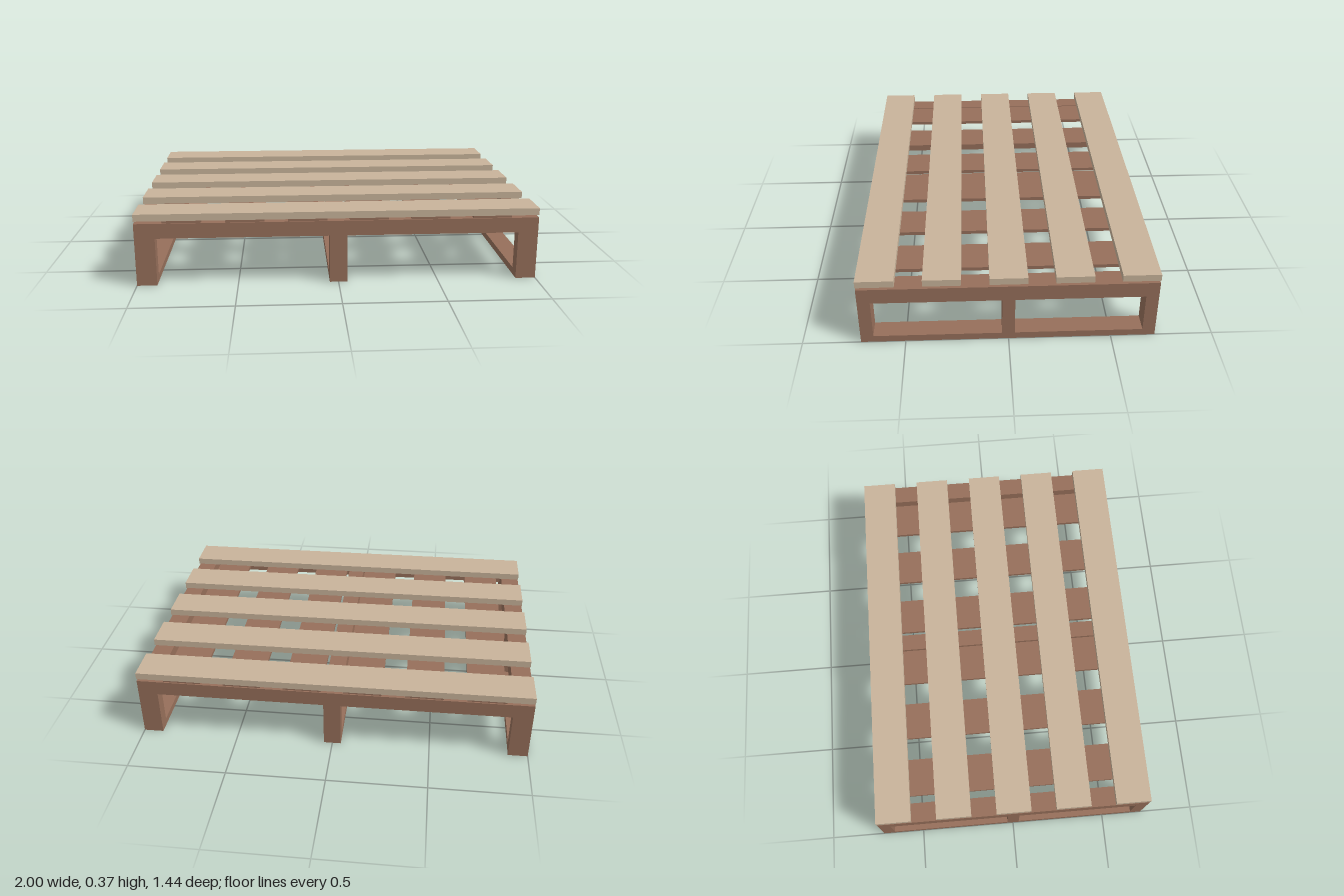
import * as THREE from 'three';

const DECK = new THREE.MeshStandardMaterial({ color: 0xc8b39a });
const WOOD = new THREE.MeshStandardMaterial({ color: 0x966f5a });
const SHELL = new THREE.MeshStandardMaterial({ color: 0x966f5a, side: THREE.DoubleSide });

const W = 2, HALF_D = 0.717, FRAME_TOP = 0.319;

// Box given by its extents on each axis
function board(name, [x0, x1], [y0, y1], [z0, z1], material) {
  const mesh = new THREE.Mesh(new THREE.BoxGeometry(x1 - x0, y1 - y0, z1 - z0), material);
  mesh.position.set((x0 + x1) / 2, (y0 + y1) / 2, (z0 + z1) / 2);
  mesh.name = name;
  return mesh;
}

function rectangle(path, x0, x1, y0, y1) {
  path.moveTo(x0, y0);
  path.lineTo(x1, y0);
  path.lineTo(x1, y1);
  path.lineTo(x0, y1);
  path.closePath();
  return path;
}

// Runner with two fork openings; its hollow shell is open underneath
function runnerGeometry(width) {
  const shape = rectangle(new THREE.Shape(), -HALF_D, HALF_D, 0, FRAME_TOP);
  shape.holes.push(
    rectangle(new THREE.Path(), -0.655, -0.031, 0.035, 0.238),
    rectangle(new THREE.Path(), 0.031, 0.655, 0.035, 0.238));
  const full = new THREE.ExtrudeGeometry(shape, { depth: width, bevelEnabled: false });
  const p = full.attributes.position;
  const kept = [];
  for (let i = 0; i < p.count; i += 3) {
    const isBottom = [0, 1, 2].every(k => p.getY(i + k) < 1e-4);
    if (!isBottom) for (let k = 0; k < 3; k++) kept.push(p.getX(i + k), p.getY(i + k), p.getZ(i + k));
  }
  const geometry = new THREE.BufferGeometry();
  geometry.setAttribute('position', new THREE.Float32BufferAttribute(kept, 3));
  geometry.translate(0, 0, -width / 2);
  geometry.rotateY(Math.PI / 2);
  geometry.computeVertexNormals();
  return geometry;
}

export function createModel() {
  const model = new THREE.Group();
  model.name = 'pallet';

  // Three runners standing on the ground
  const runners = [['rightRunner', -0.95, 0.1], ['middleRunner', 0, 0.088], ['leftRunner', 0.95, 0.1]];
  for (const [name, x, width] of runners) {
    const runner = new THREE.Mesh(runnerGeometry(width), SHELL);
    runner.name = name;
    runner.position.x = x;
    model.add(runner);
  }

  // Front and back beams joining the runners
  for (const side of [-1, 1]) {
    for (const [x0, x1] of [[-0.9, -0.044], [0.044, 0.9]]) {
      const z = side * (HALF_D - 0.031);
      model.add(board(side > 0 ? 'frontBeam' : 'backBeam',
        [x0, x1], [0.243, FRAME_TOP], [z - 0.031, z + 0.031], WOOD));
    }
  }

  // Thin slats running front to back
  for (const x of [0.152, 0.46, 0.768]) {
    for (const side of [-1, 1]) {
      const c = side * x;
      model.add(board('crossSlat', [c - 0.096, c + 0.096], [0.315, 0.333], [-0.71, 0.71], WOOD));
    }
  }

  // Pale deck boards across the top
  for (let i = -2; i <= 2; i++) {
    const z = i * 0.3135;
    model.add(board('deckBoard', [-W / 2, W / 2], [0.332, 0.367], [z - 0.091, z + 0.091], DECK));
  }
  return model;
}
